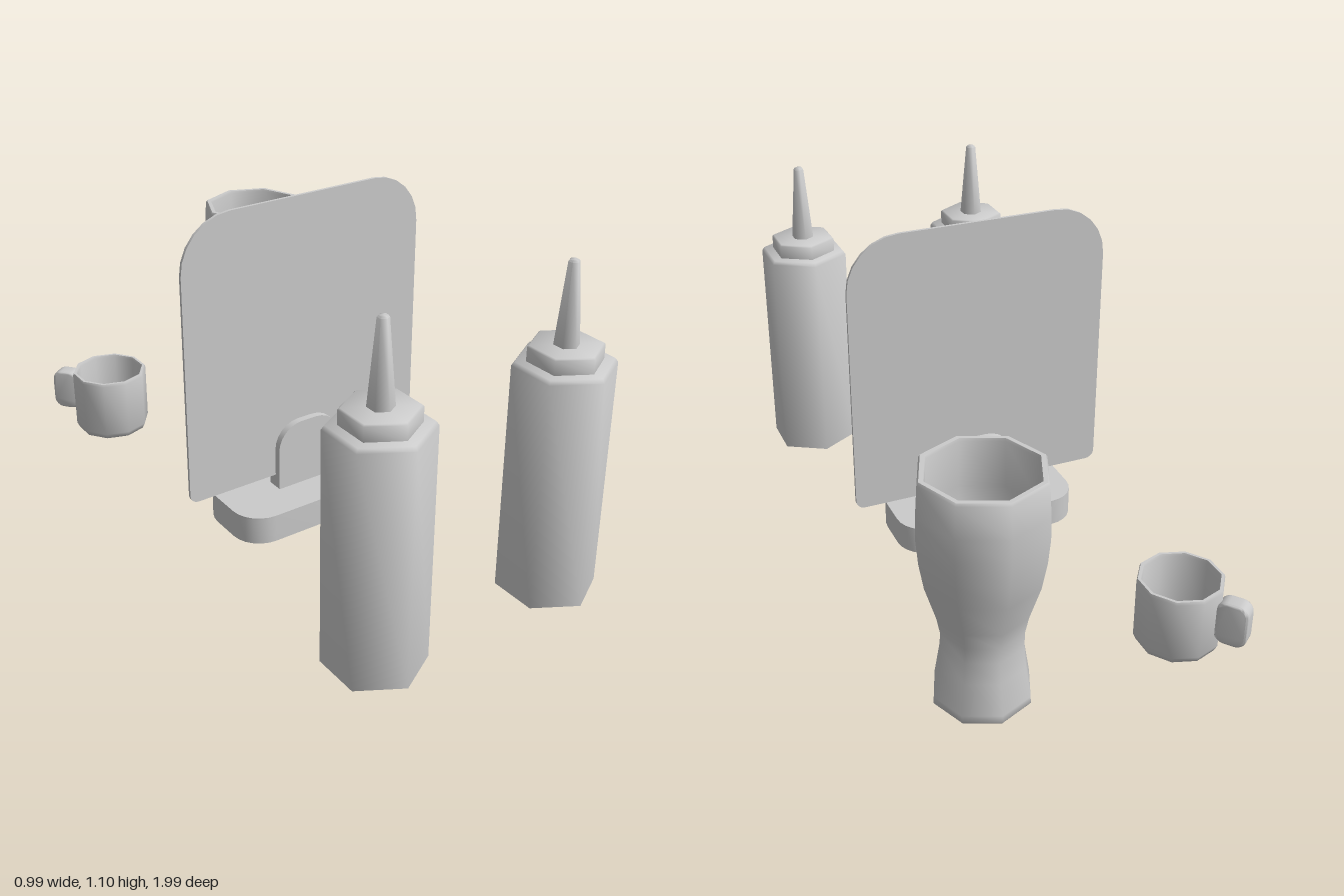
import * as THREE from 'three';
import { toCreasedNormals } from 'three/addons/utils/BufferGeometryUtils.js';

const grey = new THREE.MeshStandardMaterial({ color: 0xcccccc });

function part(name, geometry, crease, x = 0, y = 0, z = 0) {
  const mesh = new THREE.Mesh(toCreasedNormals(geometry, crease), grey);
  mesh.name = name;
  mesh.position.set(x, y, z);
  return mesh;
}

// Few-sided turned form, with a corner facing +z
function turned(profile, sides) {
  return new THREE.LatheGeometry(profile.map(([r, y]) => new THREE.Vector2(r, y)), sides);
}

// Rounded rectangle with separate top and bottom corner radii
function roundedRect(x0, y0, x1, y1, top, bottom, target = new THREE.Shape()) {
  const { PI } = Math;
  const corner = (x, y, r, start) => {
    if (r > 0) target.absarc(x, y, r, start, start + PI / 2, false);
    else target.lineTo(x, y);
  };
  target.moveTo(x0 + bottom, y0);
  corner(x1 - bottom, y0 + bottom, bottom, -PI / 2);
  corner(x1 - top, y1 - top, top, 0);
  corner(x0 + top, y1 - top, top, PI / 2);
  corner(x0 + bottom, y0 + bottom, bottom, PI);
  return target;
}

// Slab centred on z = 0
function slab(shape, depth, bevel = 0) {
  const geometry = new THREE.ExtrudeGeometry(shape, {
    depth: depth - 2 * bevel, curveSegments: 3, bevelEnabled: bevel > 0,
    bevelThickness: bevel, bevelSize: bevel, bevelOffset: -bevel, bevelSegments: 2,
  });
  return geometry.translate(0, 0, bevel - depth / 2);
}

function createBottle(x, z) {
  const bottle = new THREE.Group();
  bottle.name = 'squeezeBottle';
  bottle.position.set(x, 0, z);
  bottle.add(
    part('bottleBody', turned([[0, 0], [0.155, 0], [0.155, 0.748], [0.146, 0.76], [0, 0.76]], 6), 1.2),
    part('bottleCap', turned([[0.113, 0.757], [0.113, 0.805], [0.108, 0.81], [0, 0.81]], 6), 1.2),
    part('bottleNozzle', turned([[0.039, 0.808], [0.017, 1.062], [0.013, 1.067], [0, 1.067]], 6), 1.2),
  );
  return bottle;
}

function createGlass() {
  const profile = [
    [0, 0], [0.144, 0], [0.15, 0.008], [0.149, 0.03], [0.133, 0.13], [0.127, 0.2], [0.127, 0.25],
    [0.138, 0.305], [0.172, 0.415], [0.187, 0.5], [0.194, 0.58], [0.193, 0.65],
    [0.187, 0.748], [0.182, 0.756], [0.168, 0.756], [0.165, 0.748],
    [0.172, 0.6], [0.165, 0.5], [0.15, 0.415], [0.115, 0.3], [0.103, 0.24], [0, 0.24],
  ];
  return part('drinkingGlass', turned(profile, 8), 1, 0.297, 0, -0.797);
}

function createMug() {
  const mug = new THREE.Group();
  mug.name = 'mug';
  mug.position.set(-0.34, 0, -0.807);
  const profile = [
    [0, 0], [0.105, 0], [0.124, 0.01], [0.133, 0.03], [0.134, 0.225], [0.131, 0.234],
    [0.122, 0.234], [0.119, 0.226], [0.117, 0.03], [0, 0.022],
  ];
  mug.add(part('mugBody', turned(profile, 10), 0.9));

  // Looped handle, its inner side sunk into the mug wall
  const loop = roundedRect(0.121, 0.06, 0.222, 0.206, 0.035, 0.035);
  loop.holes.push(roundedRect(0.125, 0.092, 0.192, 0.172, 0.015, 0.015, new THREE.Path()));
  const handle = part('mugHandle', slab(loop, 0.056, 0.007), 0.9);
  handle.rotation.y = Math.atan2(0.785, -0.62);
  mug.add(handle);
  return mug;
}

function createSign() {
  const sign = new THREE.Group();
  sign.name = 'signStand';
  sign.position.set(-0.046, 0, 0.042);

  sign.add(part('signPanel', slab(roundedRect(-0.441, 0.145, 0.441, 1.098, 0.175, 0.03), 0.01), 0.7));
  sign.add(part('panelHolder', slab(roundedRect(-0.118, 0.098, 0.118, 0.33, 0.09, 0), 0.056), 0.7));

  // Base is a shallow tray turned upside down
  const outline = () => roundedRect(-0.315, -0.152, 0.315, 0.152, 0.1, 0.1);
  const rim = outline();
  rim.holes.push(roundedRect(-0.31, -0.147, 0.31, 0.147, 0.095, 0.095, new THREE.Path()));
  sign.add(part('baseWall', slab(rim, 0.09).rotateX(-Math.PI / 2), 0.7, 0, 0.05, 0.004));
  sign.add(part('baseTop', slab(outline(), 0.005).rotateX(-Math.PI / 2), 0.7, 0, 0.0975, 0.004));
  return sign;
}

export function createModel() {
  const model = new THREE.Group();
  model.name = 'tableSet';
  model.add(createBottle(-0.353, 0.843), createBottle(0.305, 0.843));
  model.add(createGlass(), createMug(), createSign());
  return model;
}
